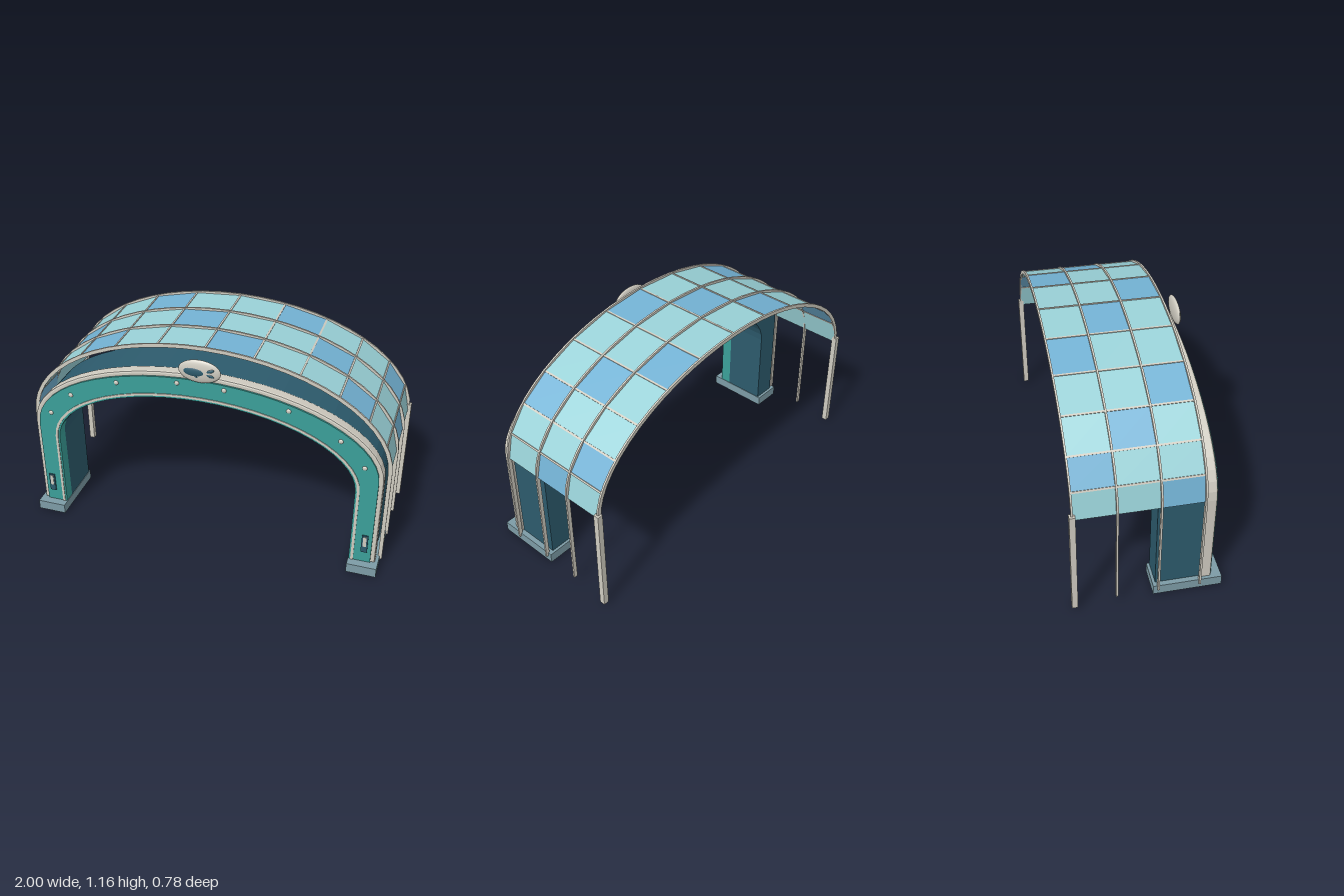
import * as THREE from 'three';

const mat = (name, color) => Object.assign(new THREE.MeshStandardMaterial({ color }), { name });

export function createModel() {
  const cream = mat('cream', 0xd0ccc1);
  const teal = mat('teal', 0x3ba099);
  const dark = mat('deep blue', 0x2d5b6d);
  const slate = mat('slate', 0x7d9ca6);
  const aqua = mat('aqua glass', 0x9ad2d8);
  const blue = mat('blue glass', 0x74b3d5);

  const root = new THREE.Group();
  root.name = 'archedEntrance';

  const add = (name, geo, material, x = 0, y = 0, z = 0) => {
    const m = new THREE.Mesh(geo, material);
    m.name = name;
    m.position.set(x, y, z);
    root.add(m);
    return m;
  };
  const box = (w, h, d) => new THREE.BoxGeometry(w, h, d);
  const ball = (name, material, x, y, z, rx, ry, rz) => {
    const m = add(name, new THREE.SphereGeometry(1, 28, 16), material, x, y, z);
    m.scale.set(rx, ry, rz);
    return m;
  };

  // Half ellipse on two straight legs, from +x over the top to -x
  const archLine = ({ a, top, spring }, bottom, n = 28) => {
    const pts = [new THREE.Vector2(a, bottom)];
    for (let i = 0; i <= n; i++) {
      const t = (i / n) * Math.PI;
      pts.push(new THREE.Vector2(a * Math.cos(t), spring + (top - spring) * Math.sin(t)));
    }
    pts.push(new THREE.Vector2(-a, bottom));
    return pts;
  };
  // Band between two arch lines, extruded from z0 to z1
  const arch = (name, material, outer, inner, bottom, z0, z1, bevel = 0) => {
    const shape = new THREE.Shape([...archLine(outer, bottom), ...archLine(inner, bottom).reverse()]);
    const geo = new THREE.ExtrudeGeometry(shape, {
      depth: z1 - z0 - 2 * bevel, bevelEnabled: bevel > 0,
      bevelSize: bevel, bevelThickness: bevel, bevelOffset: -bevel, bevelSegments: 2,
    });
    return add(name, geo, material, 0, 0, z0 + bevel);
  };

  // Portal: deep body, teal face, cream outer trim and inner line
  const opening = { a: 0.823, top: 0.884, spring: 0.5 };
  const faceEdge = { a: 0.938, top: 1.005, spring: 0.575 };
  arch('portalBody', dark, { a: 0.952, top: 1.025, spring: 0.58 }, opening, 0.05, 0.045, 0.28);
  arch('portalFace', teal, faceEdge, opening, 0.05, 0.28, 0.344);
  arch('outerTrim', cream, { a: 0.962, top: 1.032, spring: 0.58 },
    { a: 0.932, top: 1.0, spring: 0.575 }, 0.05, 0.276, 0.337, 0.01);
  arch('innerTrimLine', cream, { a: 0.847, top: 0.908, spring: 0.503 },
    { a: 0.833, top: 0.895, spring: 0.501 }, 0.055, 0.34, 0.348);

  for (const s of [1, -1]) {
    // Foot blocks and rear posts
    add('footBlock', box(0.16, 0.055, 0.36), slate, s * 0.9, 0.0275, 0.21);
    add('rearPost', box(0.03, 0.62, 0.03), cream, s * 0.985, 0.32, -0.375);
    // Wall lamps on the legs
    add('lampPlate', box(0.034, 0.11, 0.008), dark, s * 0.9, 0.177, 0.347);
    add('lampGlass', box(0.018, 0.062, 0.006), cream, s * 0.9, 0.193, 0.351);
    // Round studs on the face
    for (const [x, y] of [[0.125, 0.973], [0.46, 0.915], [0.73, 0.79], [0.86, 0.655]]) {
      ball('stud', cream, s * x, y, 0.343, 0.013, 0.013, 0.008);
    }
  }

  // Oval medallion with a fish relief
  ball('medallion', cream, 0, 1.066, 0.35, 0.112, 0.064, 0.019);
  ball('fishBody', dark, -0.02, 1.066, 0.361, 0.062, 0.027, 0.011);
  for (const s of [1, -1]) {
    ball('fishTail', dark, 0.057, 1.068 + s * 0.012, 0.361, 0.024, 0.01, 0.008).rotation.z = s * 0.35;
  }
  ball('fishFin', dark, -0.015, 1.043, 0.361, 0.018, 0.008, 0.008).rotation.z = -0.4;

  // Canopy frame: four ribs, the first three running down as slim legs
  const ribZ = [0.272, 0.056, -0.159, -0.375];
  ribZ.forEach((z, i) => {
    arch('canopyRib', cream, { a: 0.992, top: 1.162, spring: 0.6 },
      { a: 0.971, top: 1.141, spring: 0.6 }, i < 3 ? 0.035 : 0.59, z - 0.005, z + 0.005);
  });

  // Canopy glass in a diagonal pattern, with a purlin along each joint
  const A = 0.98, B = 0.55, STEP = Math.PI / 12;
  const on = (t, off) => new THREE.Vector2((A + off) * Math.cos(t), 0.6 + (B + off) * Math.sin(t));
  for (let i = 0; i < 12; i++) {
    const t0 = i * STEP, t1 = t0 + STEP;
    const pane = new THREE.Shape([on(t0, 0.003), on(t1, 0.003), on(t1, -0.003), on(t0, -0.003)]);
    for (let j = 0; j < 3; j++) {
      const geo = new THREE.ExtrudeGeometry(pane, { depth: ribZ[j] - ribZ[j + 1], bevelEnabled: false });
      add('glassPane', geo, i % 3 === (j + 2) % 3 ? blue : aqua, 0, 0, ribZ[j + 1]);
    }
    if (i > 0) {
      const p = on(t0, 0);
      const bar = add('purlin', box(0.012, 0.01, 0.647), cream, p.x, p.y, -0.0515);
      bar.rotation.z = Math.atan2(Math.sin(t0) / B, Math.cos(t0) / A);
    }
  }
  return root;
}
